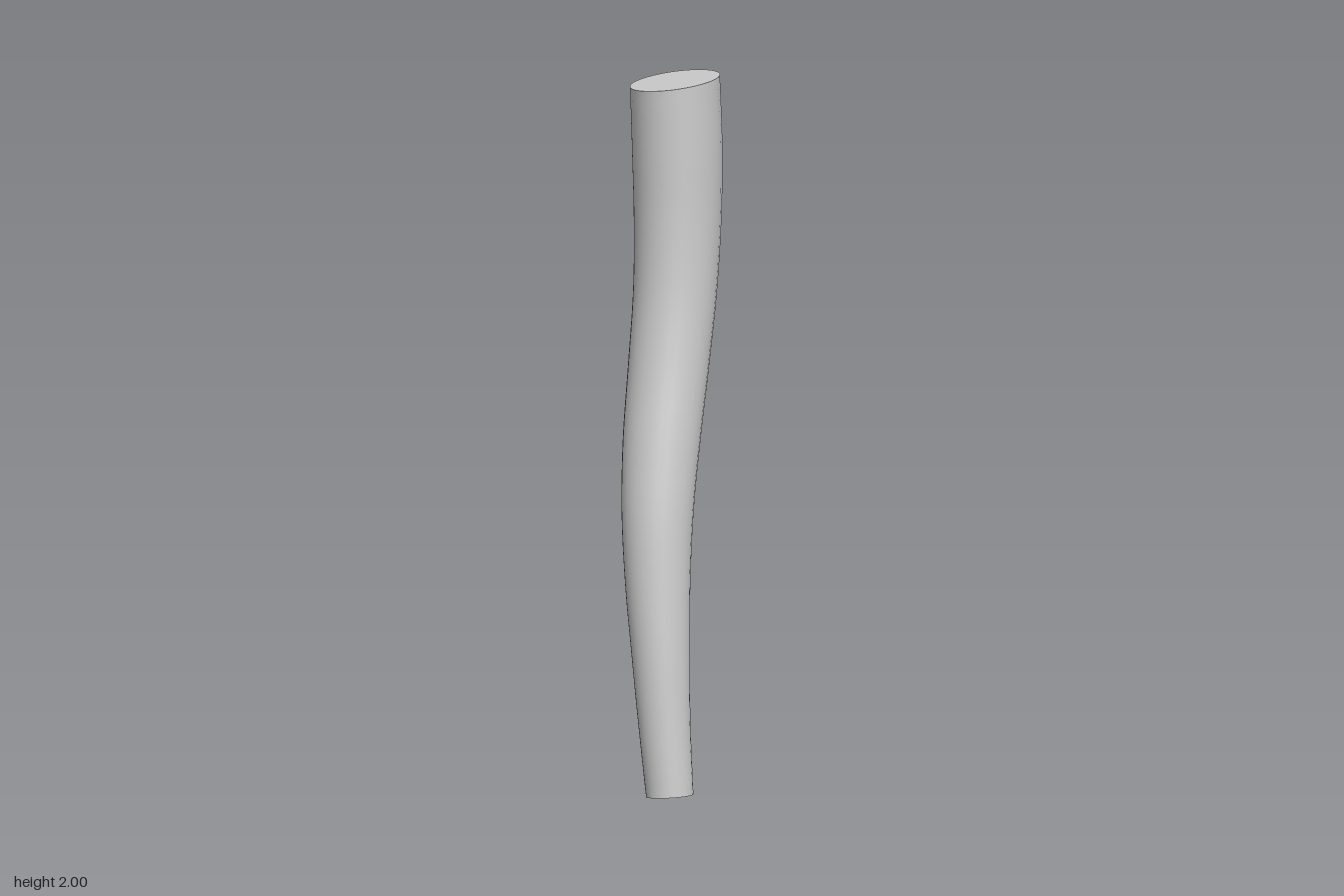
import * as THREE from 'three';

// Outline stations: height, x min, x max, z min, z max
const STATIONS = [
  [0.01, -0.02, 0.112, 0.115, 0.246],
  [0.2, -0.045, 0.1, 0.092, 0.238],
  [0.4, -0.07, 0.092, 0.06, 0.228],
  [0.6, -0.095, 0.087, 0.023, 0.211],
  [0.8, -0.113, 0.088, -0.022, 0.188],
  [1.0, -0.12, 0.097, -0.077, 0.15],
  [1.2, -0.117, 0.109, -0.135, 0.106],
  [1.4, -0.113, 0.12, -0.188, 0.072],
  [1.6, -0.117, 0.126, -0.224, 0.057],
  [1.8, -0.124, 0.126, -0.24, 0.055],
  [1.985, -0.13, 0.118, -0.246, 0.057],
];
const SIDES = 32;
const RINGS = 48;

// Smooth curves through the section centres and half-widths
const spline = (f) => new THREE.CatmullRomCurve3(STATIONS.map((s) => new THREE.Vector3(...f(s))));
const centres = spline(([y, x0, x1, z0, z1]) => [(x0 + x1) / 2, y, (z0 + z1) / 2]);
const radii = spline(([, x0, x1, z0, z1]) => [(x1 - x0) / 2, 0, (z1 - z0) / 2]);

// Elliptical cross-section at t, its end rings tilted slightly
function ring(t) {
  const c = centres.getPoint(t);
  const r = radii.getPoint(t);
  const topTilt = 0.12 * THREE.MathUtils.smoothstep(t, 0.8, 1);
  const footTilt = 0.08 * (1 - THREE.MathUtils.smoothstep(t, 0, 0.1));
  return Array.from({ length: SIDES }, (_, i) => {
    const a = (i / SIDES) * Math.PI * 2;
    const dx = r.x * Math.cos(a);
    const dz = r.z * Math.sin(a);
    return new THREE.Vector3(c.x + dx, c.y + dx * (topTilt + footTilt) + dz * footTilt, c.z + dz);
  });
}

function buildGeometry(points, index) {
  const g = new THREE.BufferGeometry().setFromPoints(points);
  g.setIndex(index);
  g.computeVertexNormals();
  return g;
}

// Tapered, curved side wall
function wallGeometry() {
  const points = [];
  const index = [];
  for (let j = 0; j <= RINGS; j++) {
    points.push(...ring(j / RINGS));
    if (j === RINGS) break;
    for (let i = 0; i < SIDES; i++) {
      const a = j * SIDES + i;
      const b = j * SIDES + ((i + 1) % SIDES);
      index.push(a, a + SIDES, b, b, a + SIDES, b + SIDES);
    }
  }
  return buildGeometry(points, index);
}

// Flat end fan with its own vertices for a crisp rim
function capGeometry(t, up) {
  const points = [...ring(t), centres.getPoint(t)];
  const index = [];
  for (let i = 0; i < SIDES; i++) {
    const n = (i + 1) % SIDES;
    index.push(SIDES, up ? n : i, up ? i : n);
  }
  return buildGeometry(points, index);
}

export function createModel() {
  const group = new THREE.Group();
  group.name = 'curvedLeg';
  const material = new THREE.MeshStandardMaterial({ color: 0xcccccc });
  const add = (name, geometry) => {
    const mesh = new THREE.Mesh(geometry, material);
    mesh.name = name;
    group.add(mesh);
  };
  add('legShaft', wallGeometry());
  add('topFace', capGeometry(1, true));
  add('footFace', capGeometry(0, false));
  return group;
}
